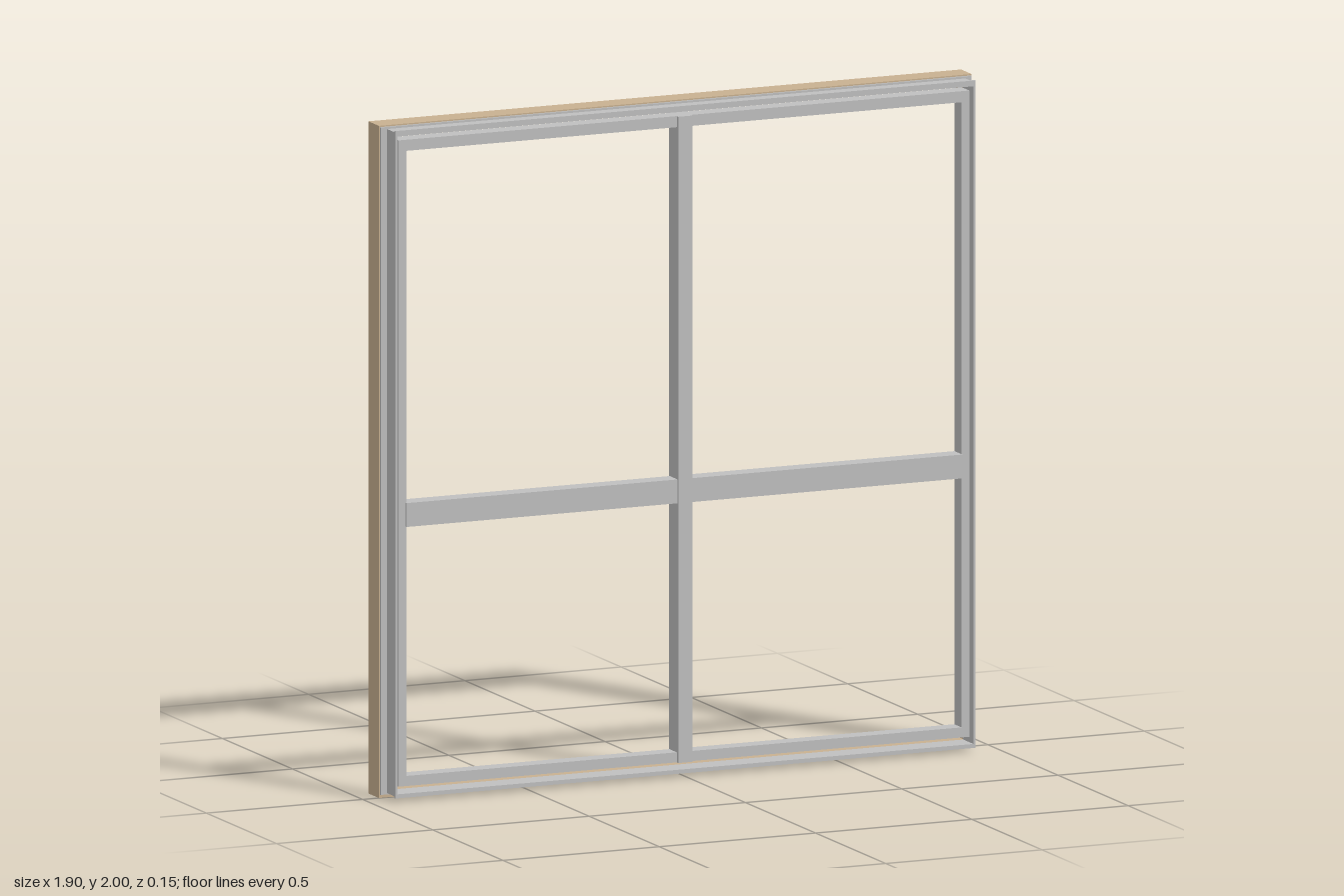
import * as THREE from 'three';

const rectPoints = (x, y0, y1) => [
  new THREE.Vector2(-x, y0), new THREE.Vector2(x, y0),
  new THREE.Vector2(x, y1), new THREE.Vector2(-x, y1),
];

export function createModel() {
  const group = new THREE.Group();
  const wood = new THREE.MeshStandardMaterial({ color: 0xc8b090 });
  wood.name = 'pale wood';
  const metal = new THREE.MeshStandardMaterial({ color: 0xbfbfbf });
  metal.name = 'grey metal';

  // Rectangular ring: outer [halfWidth, bottom, top], inner likewise, from z0 to z1
  function ring(name, outer, inner, z0, z1, material) {
    const shape = new THREE.Shape(rectPoints(...outer));
    shape.holes.push(new THREE.Path(rectPoints(...inner).reverse()));
    const geometry = new THREE.ExtrudeGeometry(shape, { depth: z1 - z0, bevelEnabled: false });
    const mesh = new THREE.Mesh(geometry, material);
    mesh.position.z = z0;
    mesh.name = name;
    group.add(mesh);
  }

  // Box given by its extents
  function bar(name, x0, x1, y0, y1, z0, z1) {
    const mesh = new THREE.Mesh(new THREE.BoxGeometry(x1 - x0, y1 - y0, z1 - z0), metal);
    mesh.position.set((x0 + x1) / 2, (y0 + y1) / 2, (z0 + z1) / 2);
    mesh.name = name;
    group.add(mesh);
  }

  // Wooden lining at the back
  ring('woodLining', [0.948, 0, 2], [0.928, 0.02, 1.98], -0.075, 0, wood);

  // Outer metal frame: mounting flange, thin wall and front lip
  const frameHole = [0.921, 0.022, 1.979];
  ring('mountingFlange', [0.945, 0.01, 1.996], frameHole, 0, 0.007, metal);
  ring('frameWall', [0.925, 0.014, 1.99], frameHole, 0.007, 0.067, metal);
  ring('frontLip', [0.928, 0.01, 1.996], frameHole, 0.067, 0.073, metal);

  // Inner sash, set inside the frame with a narrow gap
  ring('sash', [0.913, 0.042, 1.965], [0.888, 0.072, 1.932], 0.01, 0.062, metal);

  // Crossing bars
  bar('mullion', -0.023, 0.023, 0.042, 1.965, 0.008, 0.073);
  for (const side of [-1, 1]) {
    const a = side * 0.023, b = side * 0.89;
    bar(side > 0 ? 'leftTransom' : 'rightTransom', Math.min(a, b), Math.max(a, b), 0.814, 0.885, 0.012, 0.068);
  }

  return group;
}
